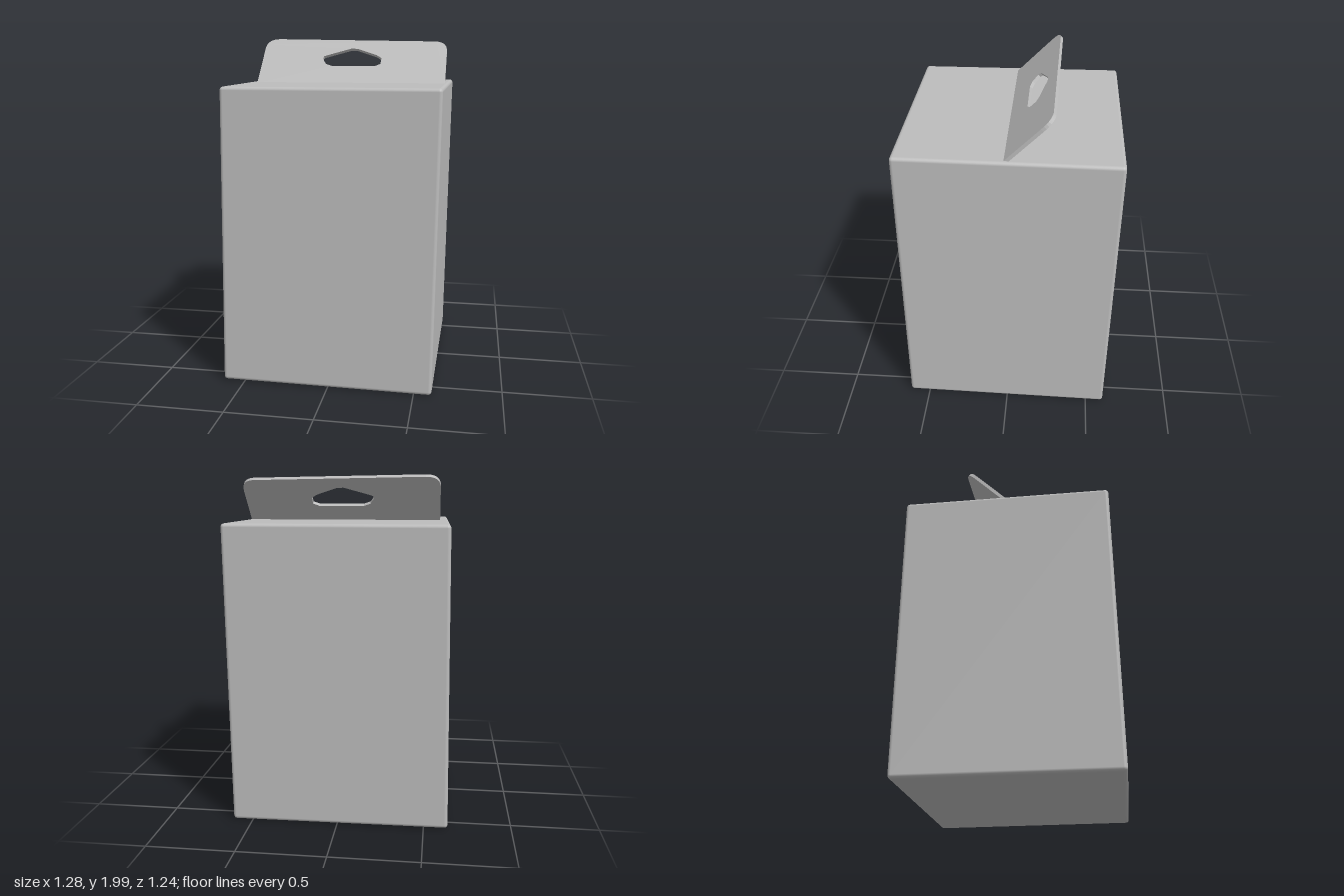
import * as THREE from 'three';
import { RoundedBoxGeometry } from 'three/addons/geometries/RoundedBoxGeometry.js';

export function createModel() {
  const model = new THREE.Group();
  model.name = 'hangingCarton';
  const card = new THREE.MeshStandardMaterial({ color: 0xbcbcbc });
  card.name = 'grey card';

  // Carton body: a softly edged box, leaning slightly and a little wider at the back
  const W = 1.24, H = 1.725, D = 1.228;
  const bodyGeo = new RoundedBoxGeometry(W, H, D, 3, 0.02);
  const p = bodyGeo.attributes.position;
  for (let i = 0; i < p.count; i++) {
    const u = p.getX(i) / (W / 2), v = p.getY(i) / (H / 2), w = p.getZ(i) / (D / 2);
    p.setXYZ(i,
      p.getX(i) + 0.011 * v - 0.007 * u * w,
      p.getY(i) - 0.004 * u * (1 - v) / 2,
      p.getZ(i) - 0.007 * v);
  }
  const body = new THREE.Mesh(bodyGeo, card);
  body.name = 'cartonBody';
  body.position.y = 0.874;
  model.add(body);

  // Hang tab: rounded upper corners and a pentagonal hanger hole
  const L = -0.555, R = 0.61, hl = 0.378, hr = 0.355, r = 0.085;
  const tabShape = new THREE.Shape();
  tabShape.moveTo(L, -0.01);
  tabShape.lineTo(L, hl - r);
  tabShape.quadraticCurveTo(L, hl, L + r, hl);
  tabShape.lineTo(R - r, hr);
  tabShape.quadraticCurveTo(R, hr, R, hr - r);
  tabShape.lineTo(R, -0.01);
  tabShape.closePath();
  const hole = [[-0.165, 0.205], [-0.14, 0.16], [-0.1, 0.142], [0.17, 0.142],
    [0.205, 0.16], [0.207, 0.21], [0.175, 0.235], [0.05, 0.29], [0.01, 0.293],
    [-0.12, 0.242], [-0.16, 0.225]];
  tabShape.holes.push(new THREE.Path(hole.map(([x, y]) => new THREE.Vector2(x, y))));
  const T = 0.02;
  const tabGeo = new THREE.ExtrudeGeometry(tabShape, { depth: T, bevelEnabled: false, curveSegments: 8 });
  tabGeo.translate(0, 0, -T / 2);
  const tab = new THREE.Mesh(tabGeo, card);
  tab.name = 'hangTab';
  tab.position.set(0, 1.728, 0.005);
  tab.rotation.x = -Math.PI / 4;
  model.add(tab);

  return model;
}
